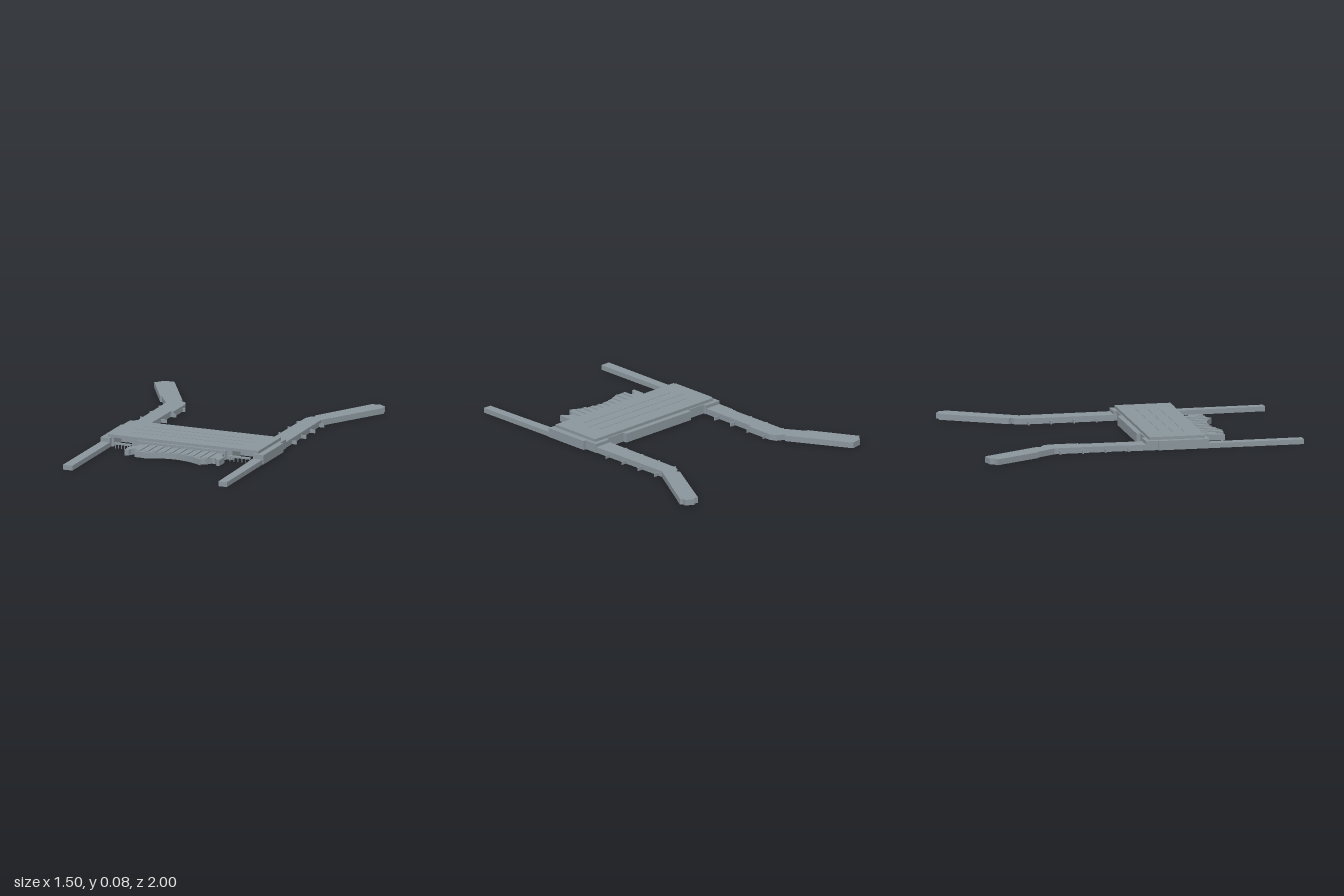
import * as THREE from 'three';

const concrete = new THREE.MeshStandardMaterial({ color: 0x8a959c, side: THREE.DoubleSide });
concrete.name = 'concrete grey';

// Open-bottomed shell: walls and roof raised over a plan of [x, z] points
function shell(name, plan, height, base = 0) {
  const shape = new THREE.Shape(plan.map(([x, z]) => new THREE.Vector2(x, -z)));
  const solid = new THREE.ExtrudeGeometry(shape, { depth: height, bevelEnabled: false });
  const floorEnd = solid.groups[0].count / 2; // the floor lid comes first
  const geometry = new THREE.BufferGeometry();
  for (const key of ['position', 'normal']) {
    const a = solid.attributes[key];
    geometry.setAttribute(key, new THREE.BufferAttribute(a.array.slice(floorEnd * 3), 3));
  }
  geometry.rotateX(-Math.PI / 2).translate(0, base, 0);
  const mesh = new THREE.Mesh(geometry, concrete);
  mesh.name = name;
  return mesh;
}

// Box between two corners
function block(name, x0, x1, y0, y1, z0, z1) {
  const mesh = new THREE.Mesh(new THREE.BoxGeometry(x1 - x0, y1 - y0, z1 - z0), concrete);
  mesh.position.set((x0 + x1) / 2, (y0 + y1) / 2, (z0 + z1) / 2);
  mesh.name = name;
  return mesh;
}

export function createModel() {
  const model = new THREE.Group();
  model.name = 'terminal';

  // Main hall, with an open recess at each front corner
  model.add(shell('mainHall', [
    [-0.515, 0.03], [-0.4, 0.03], [-0.4, 0.05], [-0.27, 0.05], [-0.27, 0.025],
    [0.27, 0.025], [0.27, 0.05], [0.41, 0.05], [0.41, 0.03], [0.52, 0.03],
    [0.52, 0.115], [0.54, 0.115], [0.54, 0.42], [0.475, 0.42], [0.475, 0.395],
    [0.46, 0.395], [0.46, 0.28], [0.33, 0.28], [0.33, 0.4],
    [0.29, 0.4], [0.29, 0.415], [-0.29, 0.415], [-0.29, 0.4],
    [-0.33, 0.4], [-0.33, 0.28], [-0.45, 0.28], [-0.45, 0.395],
    [-0.465, 0.395], [-0.465, 0.42], [-0.525, 0.42], [-0.525, 0.105], [-0.515, 0.105],
  ], 0.057));

  // Upper roof and its thin lengthwise ridges
  model.add(shell('upperRoof', [[-0.487, 0.057], [0.5, 0.057], [0.5, 0.4], [-0.487, 0.4]], 0.018, 0.057));
  for (const [z, half] of [[0.16, 0.36], [0.23, 0.4], [0.3, 0.36]]) {
    model.add(block('roofRidge', -half, half, 0.074, 0.077, z - 0.003, z + 0.003));
  }

  // Front piers
  model.add(shell('rightPier', [[-0.525, 0.42], [-0.465, 0.42], [-0.462, 1], [-0.525, 1]], 0.03));
  model.add(shell('leftPier', [[0.47, 0.42], [0.535, 0.42], [0.54, 0.98], [0.485, 0.98], [0.478, 0.66]], 0.03));

  // Bent rear concourses
  model.add(shell('rightConcourse', [
    [-0.515, 0.03], [-0.513, -0.09], [-0.503, -0.1], [-0.505, -0.53], [-0.585, -0.655],
    [-0.595, -0.65], [-0.755, -0.935], [-0.73, -0.95], [-0.72, -0.975], [-0.65, -0.99],
    [-0.638, -0.975], [-0.435, -0.62], [-0.45, -0.605], [-0.4, -0.58], [-0.382, -0.54],
    [-0.382, -0.36], [-0.4, -0.36], [-0.405, 0.03],
  ], 0.036));
  model.add(shell('leftConcourse', [
    [0.515, 0.03], [0.51, -0.53], [0.75, -0.935], [0.735, -0.95], [0.742, -0.97],
    [0.69, -1], [0.68, -0.985], [0.652, -0.99], [0.435, -0.61], [0.447, -0.59],
    [0.42, -0.575], [0.405, -0.54], [0.4, 0.05], [0.41, 0.05],
  ], 0.036));

  // Gate fins along both concourses
  for (const z of [-0.08, -0.22, -0.36, -0.5]) {
    for (const [x0, x1] of [[-0.54, -0.5], [-0.405, -0.365], [0.365, 0.405], [0.508, 0.545]]) {
      model.add(block('gateFin', x0, x1, 0, 0.022, z - 0.003, z + 0.003));
    }
  }

  // Entrance building with a concave front
  const arc = [];
  for (let i = 0; i <= 12; i++) {
    const x = -0.175 + 0.375 * i / 12;
    arc.push([x, 0.525 + 1.6 * x * x]);
  }
  model.add(shell('entrance', [
    [-0.28, 0.415], [-0.275, 0.45], [-0.31, 0.48], [-0.31, 0.56], [-0.287, 0.555],
    [-0.28, 0.53], [-0.265, 0.515], [-0.248, 0.515], [-0.24, 0.53], [-0.24, 0.567],
    [-0.18, 0.567], ...arc, [0.193, 0.57], [0.22, 0.56], [0.245, 0.525], [0.265, 0.52],
    [0.28, 0.535], [0.29, 0.557], [0.31, 0.56], [0.31, 0.48], [0.28, 0.455], [0.28, 0.415],
  ], 0.037));
  for (let i = 0; i < 10; i++) {
    const x = -0.22 + i * 0.049;
    const end = Math.min(0.555, 0.52 + 1.6 * x * x);
    model.add(block('entranceRib', x - 0.012, x + 0.012, 0.036, 0.043, 0.415, end));
  }

  // Narrow canopies on slim posts before the corner recesses
  for (const [x0, x1] of [[-0.43, -0.32], [0.32, 0.46]]) {
    model.add(block('canopy', x0, x1, 0.026, 0.036, 0.42, 0.44));
    for (let i = 0; i < 6; i++) {
      const x = x0 + 0.005 + (x1 - x0 - 0.01) * i / 5;
      model.add(block('canopyPost', x - 0.002, x + 0.002, 0, 0.026, 0.428, 0.432));
    }
  }
  return model;
}
